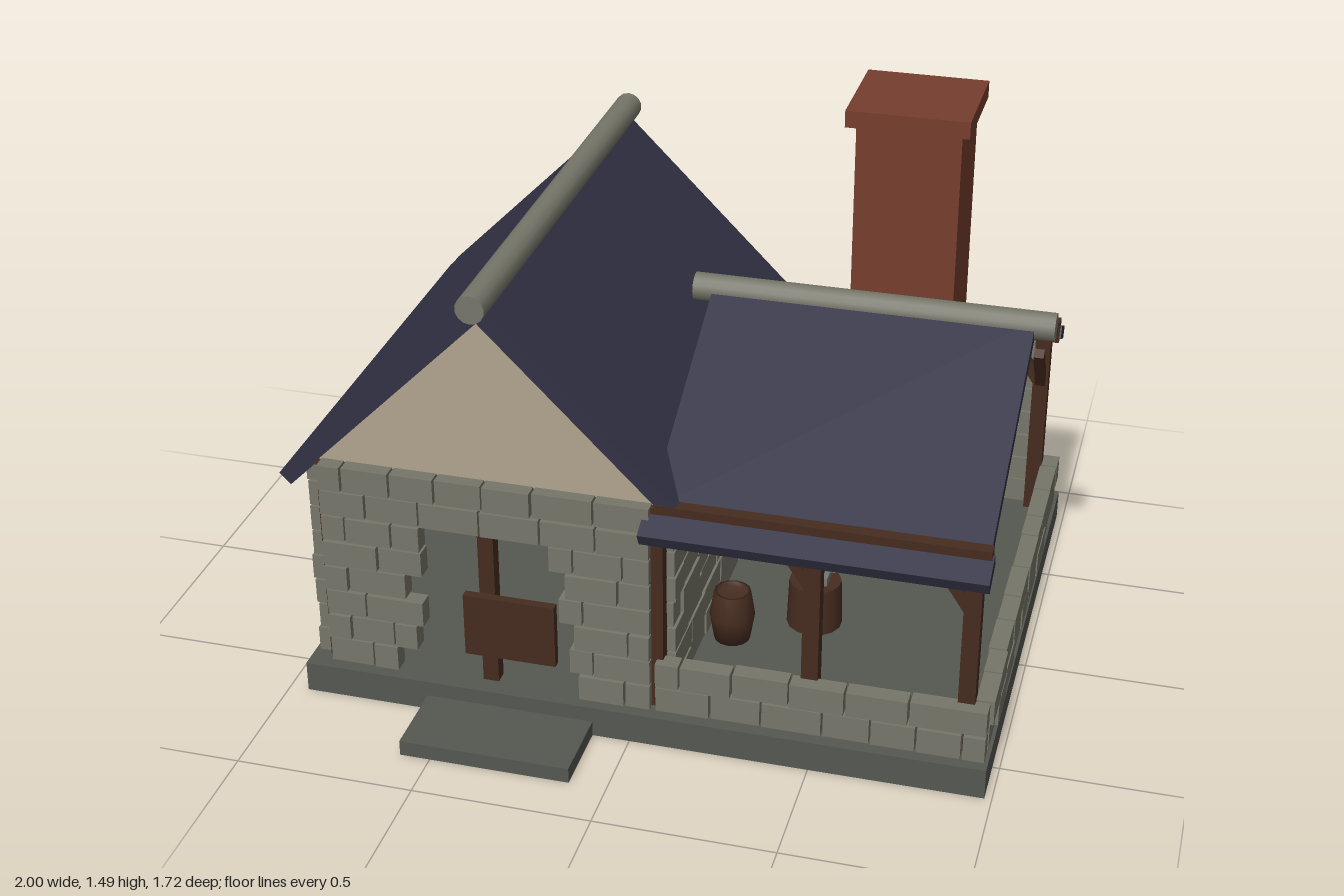
import * as THREE from 'three';
import { mergeGeometries } from 'three/addons/utils/BufferGeometryUtils.js';

const material = (name, color) => Object.assign(new THREE.MeshStandardMaterial({ color }), { name });
const stone = material('stone', 0x77766a);
const slabGrey = material('dark slab stone', 0x555851);
const slate = material('blue slate', 0x333246);
const plaster = material('cream plaster', 0xb0a48e);
const brick = material('red brick', 0x763d2d);
const wood = material('dark wood', 0x462c20);
const amber = material('amber glass', 0xc48c38);
const iron = material('iron', 0x74746f);

let seed = 7;
const rand = () => (seed = (seed * 16807) % 2147483647) / 2147483647;

// Box geometry from its minimum and maximum on each axis
function boxGeo(x0, x1, y0, y1, z0, z1) {
  return new THREE.BoxGeometry(x1 - x0, y1 - y0, z1 - z0)
    .translate((x0 + x1) / 2, (y0 + y1) / 2, (z0 + z1) / 2);
}

// Polygon extruded along z, or along x with points given as (z, y)
function prism(points, from, to, axis = 'z') {
  const shape = new THREE.Shape(points.map(([u, v]) => new THREE.Vector2(axis === 'x' ? -u : u, v)));
  const geo = new THREE.ExtrudeGeometry(shape, { depth: to - from, bevelEnabled: false }).translate(0, 0, from);
  return axis === 'x' ? geo.rotateY(Math.PI / 2) : geo;
}

// Outline of a plank running from p to q with its thickness t hanging below
function plank([u0, v0], [u1, v1], t) {
  const len = Math.hypot(u1 - u0, v1 - v0);
  let nu = (v1 - v0) / len * t, nv = -(u1 - u0) / len * t;
  if (nv > 0) { nu = -nu; nv = -nv; }
  return [[u0, v0], [u1, v1], [u1 + nu, v1 + nv], [u0 + nu, v0 + nv]];
}

// Rows of loose stones along x or z, leaving an optional ragged opening
function stoneWall(axis, a, b, d0, d1, rows, hole) {
  const pitch = 0.08, gap = 0.006, parts = [];
  for (let r = 0; r < rows; r++) {
    const y0 = 0.09 + r * pitch, y1 = y0 + pitch - gap;
    const open = hole && r >= hole.row0 && r <= hole.row1;
    const runs = open
      ? [[a, hole.from + (rand() - 0.5) * 0.09], [hole.to + (rand() - 0.5) * 0.09, b]]
      : [[a, b]];
    for (const [start, end] of runs) {
      let s = start;
      while (s < end - 0.01) {
        let e = s + (s === start && r % 2 ? 0.07 : 0.11 + rand() * 0.07);
        if (end - e < 0.06) e = end;
        const j = (rand() - 0.5) * 0.01;
        parts.push(axis === 'x'
          ? boxGeo(s, e - gap, y0, y1, d0 + j, d1 + j)
          : boxGeo(d0 + j, d1 + j, y0, y1, s, e - gap));
        s = e;
      }
    }
  }
  return mergeGeometries(parts);
}

export function createModel() {
  const model = new THREE.Group();
  model.name = 'smithy';
  const add = (name, geo, mat) => {
    const mesh = new THREE.Mesh(geo, mat);
    mesh.name = name;
    model.add(mesh);
    return mesh;
  };
  const box = (name, mat, ...size) => add(name, boxGeo(...size), mat);

  // Ground slab and doorstep
  box('foundation', slabGrey, -0.945, 0.98, 0, 0.09, -0.85, 0.64);
  box('doorstep', slabGrey, -0.585, -0.105, 0, 0.045, 0.64, 0.86);

  // Stone walls of the house
  add('frontWall', stoneWall('x', -0.88, 0.055, 0.555, 0.605, 8, { from: -0.63, to: -0.19, row0: 0, row1: 5 }), stone);
  add('houseBackWall', stoneWall('x', -0.88, 0.055, -0.815, -0.765, 8, { from: -0.64, to: -0.18, row0: 2, row1: 5 }), stone);
  add('leftWall', stoneWall('z', -0.78, 0.57, -0.93, -0.88, 8, { from: -0.33, to: 0.12, row0: 2, row1: 5 }), stone);
  add('sharedWall', stoneWall('z', -0.76, 0.55, 0.055, 0.105, 7), stone);

  // Stone walls of the forge
  add('forgeBackWall', stoneWall('x', 0.065, 0.93, -0.815, -0.765, 7), stone);
  add('forgeFrontLowWall', stoneWall('x', 0.065, 0.975, 0.555, 0.605, 2), stone);
  add('forgeSideLowWall', stoneWall('z', -0.8, 0.55, 0.925, 0.975, 2), stone);

  // Timber corner posts half hidden between the stones
  for (const x of [-0.87, 0.06]) for (const z of [-0.77, 0.56]) {
    box('cornerPost', wood, x - 0.022, x + 0.022, 0.09, 0.72, z - 0.022, z + 0.022);
  }

  // Door and windows
  box('doorPost', wood, -0.437, -0.392, 0.09, 0.57, 0.545, 0.585);
  box('doorBoard', wood, -0.475, -0.215, 0.19, 0.38, 0.59, 0.615);
  box('windowPost', wood, -0.437, -0.392, 0.25, 0.57, -0.8, -0.77);
  box('backWindow', amber, -0.57, -0.35, 0.28, 0.48, -0.815, -0.805);
  box('leftWindow', amber, -0.92, -0.91, 0.28, 0.49, -0.24, 0.02);

  // Plaster gables
  for (const z of [-0.785, 0.535]) {
    add('gable', prism([[-0.895, 0.72], [0.065, 0.72], [-0.415, 1.2]], z, z + 0.03), plaster);
  }

  // House roof: a panel and an eave board on each slope
  for (const s of [-1, 1]) {
    const at = (d, y) => [-0.415 + s * d, y];
    add('houseRoof', prism(plank(at(0, 1.26), at(0.56, 0.7), 0.045), -0.785, 0.575), slate);
    add('houseEave', prism(plank(at(0.51, 0.745), at(0.588, 0.667), 0.045), -0.79, 0.58), slate);
  }
  const ridge = new THREE.CylinderGeometry(0.04, 0.04, 1.455, 14).rotateX(Math.PI / 2);
  add('houseRidgeLog', ridge.translate(-0.415, 1.255, -0.108), stone);

  // Forge roof with eave boards and wall beams
  for (const s of [-1, 1]) {
    const at = (d, y) => [-0.105 + s * d, y];
    add('forgeRoof', prism(plank(at(0, 1.055), at(0.685, 0.71), 0.04), 0.045, 0.945, 'x'), slate);
    add('forgeEave', prism(plank(at(0.67, 0.71), at(0.752, 0.67), 0.04), 0.03, 0.955, 'x'), slate);
    const z = -0.105 + s * 0.668;
    box('forgeBeam', wood, 0.06, 0.95, 0.66, 0.728, z - 0.018, z + 0.018);
  }
  const forgeRidge = new THREE.CylinderGeometry(0.04, 0.04, 1.01, 14).rotateZ(Math.PI / 2);
  add('forgeRidgeLog', forgeRidge.translate(0.495, 1.037, -0.107), stone);

  // Porch posts with braces along the front and sides
  for (const [x, z] of [[0.483, 0.545], [0.907, 0.545], [0.907, -0.753]]) {
    box('porchPost', wood, x - 0.023, x + 0.023, 0.09, 0.69, z - 0.023, z + 0.023);
    const inward = z > 0 ? -1 : 1;
    add('sideBrace', prism(plank([z, 0.54], [z + inward * 0.11, 0.69], 0.03), x - 0.015, x + 0.015, 'x'), wood);
    add('frontBrace', prism(plank([x, 0.54], [x - 0.085, 0.67], 0.03), z - 0.015, z + 0.015), wood);
  }

  // Brick hearth and chimney
  box('hearthBase', brick, 0.265, 0.785, 0.09, 0.375, -0.73, -0.29);
  box('hearthBody', brick, 0.295, 0.735, 0.375, 0.625, -0.71, -0.345);
  box('chimney', brick, 0.373, 0.673, 0.625, 1.44, -0.685, -0.41);
  box('chimneyCap', brick, 0.345, 0.697, 1.44, 1.49, -0.715, -0.385);

  // Arch of wedge-like bricks round the hearth mouth
  const archBricks = [];
  for (let i = 0; i < 11; i++) {
    archBricks.push(new THREE.BoxGeometry(0.07, 0.056, 0.115)
      .translate(0.2, 0, 0)
      .rotateZ(Math.PI * (i + 0.5) / 11)
      .translate(0.515, 0.395, -0.29));
  }
  add('hearthArch', mergeGeometries(archBricks), brick);

  // Anvil on its stump, and a water barrel
  add('anvilStump', new THREE.CylinderGeometry(0.075, 0.08, 0.14, 14).translate(0.39, 0.16, 0.06), wood);
  box('anvilFoot', iron, 0.35, 0.43, 0.23, 0.255, 0.03, 0.09);
  box('anvilWaist', iron, 0.37, 0.415, 0.255, 0.285, 0.04, 0.08);
  box('anvilTop', iron, 0.35, 0.455, 0.28, 0.31, 0.03, 0.09);
  add('anvilHorn', new THREE.ConeGeometry(0.018, 0.05, 10).rotateZ(Math.PI / 2).translate(0.33, 0.293, 0.06), iron);
  const barrelProfile = [[0, 0], [0.052, 0], [0.065, 0.08], [0.053, 0.155], [0.045, 0.155], [0.045, 0.14], [0, 0.14]];
  add('waterBarrel', new THREE.LatheGeometry(barrelProfile.map(([r, y]) => new THREE.Vector2(r, y)), 14)
    .translate(0.18, 0.09, 0.2), wood);

  return model;
}
